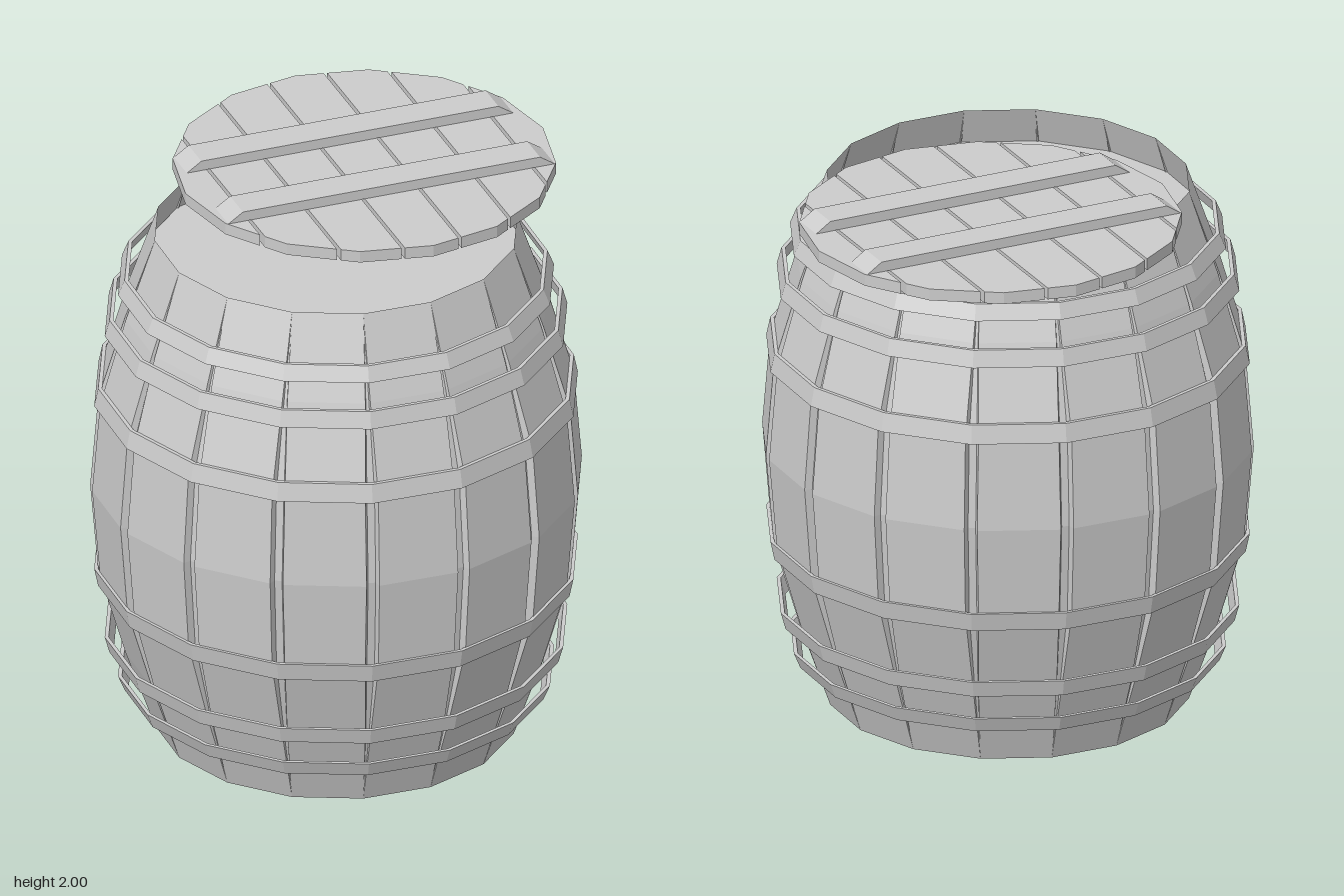
import * as THREE from 'three';

const SIDES = 16;
const HEIGHT = 1.92;
const flat = new THREE.MeshStandardMaterial({ color: 0xcccccc, flatShading: true });
const flatDouble = new THREE.MeshStandardMaterial({ color: 0xcccccc, flatShading: true, side: THREE.DoubleSide });

function add(parent, name, geometry, material = flat) {
  const mesh = new THREE.Mesh(geometry, material);
  mesh.name = name;
  parent.add(mesh);
  return mesh;
}

// Barrel wall: rings of 16 staves with a groove at every corner
function staveGeometry() {
  // y, radius, groove half width, groove depth
  const half = [[0, 0.638, 0, 0], [0.3, 0.742, 0.009, 0.012], [0.62, 0.835, 0.023, 0.026]];
  const rows = [
    ...half,
    [HEIGHT / 2, 0.863, 0.023, 0.026],
    ...half.map(([y, ...rest]) => [HEIGHT - y, ...rest]).reverse(),
  ];
  const position = [];
  const index = [];
  const n = SIDES * 4;
  for (const [y, r, w, depth] of rows) {
    for (let i = 0; i < SIDES; i++) {
      const corner = (i / SIDES) * Math.PI * 2;
      for (const [side, sunk] of [[-1, 0], [-0.6, 1], [0.6, 1], [1, 0]]) {
        const a = corner + (side * w) / r;
        const radius = r - sunk * depth;
        position.push(Math.sin(a) * radius, y, Math.cos(a) * radius);
      }
    }
  }
  for (let j = 0; j < rows.length - 1; j++) {
    for (let i = 0; i < n; i++) {
      const a = j * n + i;
      const b = j * n + ((i + 1) % n);
      index.push(a, b, b + n, a, b + n, a + n);
    }
  }
  const geometry = new THREE.BufferGeometry();
  geometry.setAttribute('position', new THREE.Float32BufferAttribute(position, 3));
  geometry.setIndex(index);
  geometry.computeVertexNormals();
  return geometry;
}

// Thin sloping band from (r0, y0) up to (r1, y1)
function hoopGeometry(r0, y0, r1, y1) {
  const t = 0.014;
  const profile = [[r0, y0], [r1, y1], [r1 - t, y1], [r0 - t, y0], [r0, y0]];
  return new THREE.LatheGeometry(profile.map(([r, y]) => new THREE.Vector2(r, y)), SIDES);
}

// One lid board: the slice of a 16-sided disc between v0 and v1
function plankGeometry(radius, v0, v1, thickness) {
  const corners = [];
  for (let i = -4; i <= 4; i++) {
    const a = (i / SIDES) * Math.PI * 2;
    corners.push([radius * Math.cos(a), radius * Math.sin(a)]);
  }
  const widthAt = (v) => {
    for (let i = 0; i < corners.length - 1; i++) {
      const [[ua, va], [ub, vb]] = [corners[i], corners[i + 1]];
      if (v >= va && v <= vb) return ua + ((ub - ua) * (v - va)) / (vb - va);
    }
    return 0.001;
  };
  const right = [
    [widthAt(v0), v0],
    ...corners.filter(([, v]) => v > v0 + 1e-4 && v < v1 - 1e-4),
    [widthAt(v1), v1],
  ];
  const left = right.map(([u, v]) => [-u, v]).reverse();
  const shape = new THREE.Shape([...right, ...left].map(([u, v]) => new THREE.Vector2(u, v)));
  return new THREE.ExtrudeGeometry(shape, { depth: thickness, bevelEnabled: false }).rotateX(-Math.PI / 2);
}

// Batten with sloping ends, running along z
function battenGeometry(width, height, length) {
  const h = length / 2;
  const shape = new THREE.Shape([
    new THREE.Vector2(-h, 0),
    new THREE.Vector2(h, 0),
    new THREE.Vector2(h - 0.055, height),
    new THREE.Vector2(-h + 0.055, height),
  ]);
  return new THREE.ExtrudeGeometry(shape, { depth: width, bevelEnabled: false })
    .translate(0, 0, -width / 2)
    .rotateY(Math.PI / 2);
}

export function createModel() {
  const model = new THREE.Group();
  model.name = 'barrelWithLid';

  const barrel = new THREE.Group();
  barrel.name = 'barrel';
  barrel.position.z = 0.09;
  model.add(barrel);
  add(barrel, 'staves', staveGeometry(), flatDouble);

  // Recessed heads at both ends
  for (const [name, y] of [['bottomHead', 0.14], ['topHead', HEIGHT - 0.14]]) {
    const head = new THREE.CircleGeometry(0.686, SIDES).rotateX(-Math.PI / 2);
    add(barrel, name, head, flatDouble).position.y = y;
  }

  // Three hoops, mirrored about mid height
  const hoops = [[0.745, 0.15, 0.768, 0.206], [0.798, 0.303, 0.815, 0.364], [0.838, 0.57, 0.852, 0.638]];
  for (const [r0, y0, r1, y1] of hoops) {
    add(barrel, 'lowerHoop', hoopGeometry(r0, y0, r1, y1));
    add(barrel, 'upperHoop', hoopGeometry(r1, HEIGHT - y1, r0, HEIGHT - y0));
  }

  // Lid pushed aside to the back, resting on the rim
  const lid = new THREE.Group();
  lid.name = 'lid';
  lid.position.set(-0.165, HEIGHT, -0.3);
  lid.rotation.y = -0.565;
  model.add(lid);

  const radius = 0.668;
  const gap = 0.006;
  const seams = [-radius, -0.53, -0.318, -0.106, 0.106, 0.318, 0.53, radius];
  for (let i = 0; i < seams.length - 1; i++) {
    const v0 = i === 0 ? -radius : seams[i] + gap;
    const v1 = i === seams.length - 2 ? radius : seams[i + 1] - gap;
    add(lid, 'lidPlank', plankGeometry(radius, v0, v1, 0.043));
  }
  for (const u of [-0.2, 0.2]) {
    add(lid, 'lidBatten', battenGeometry(0.125, 0.037, 1.22)).position.set(u, 0.043, 0);
  }
  return model;
}
